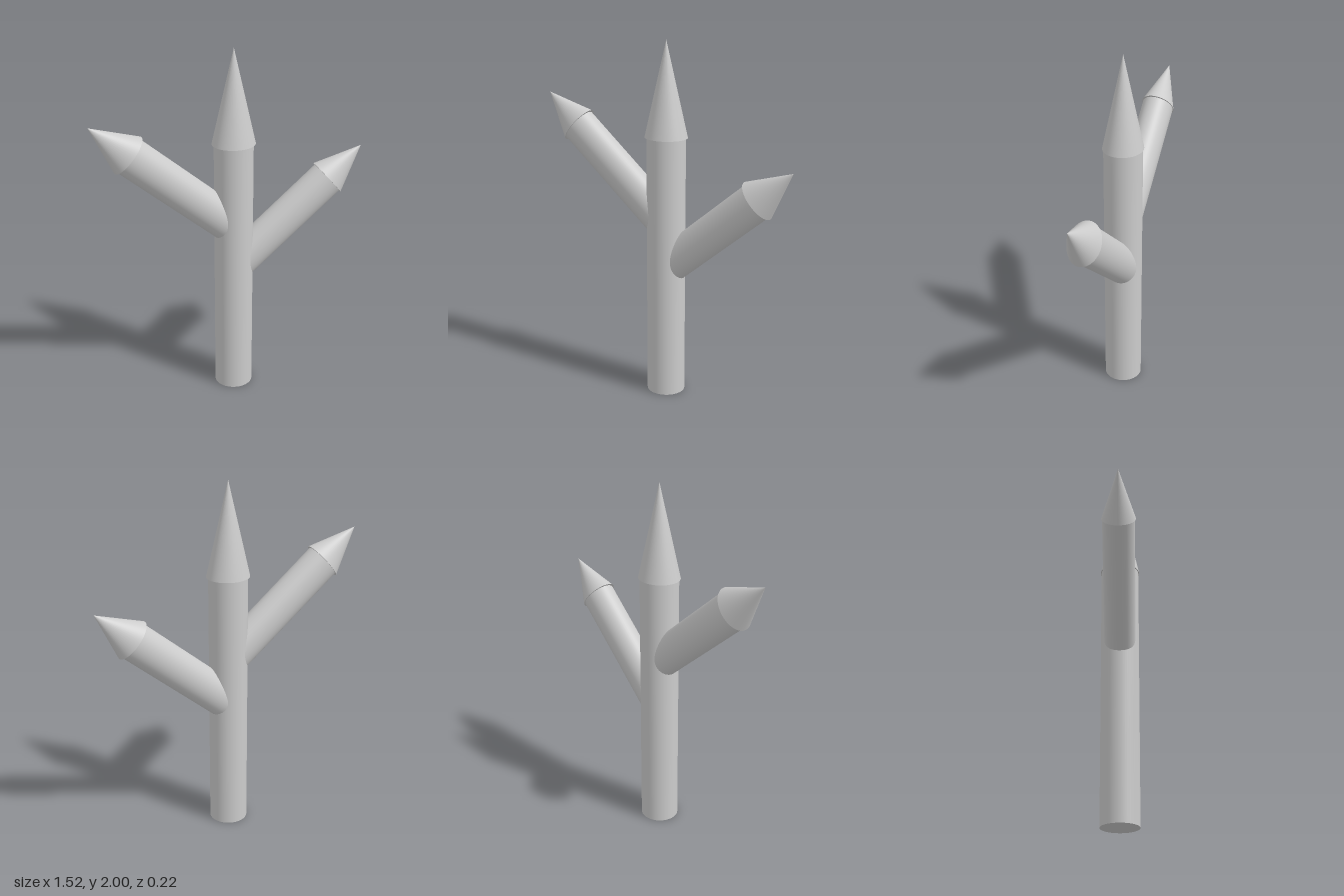
import * as THREE from 'three';

const material = new THREE.MeshStandardMaterial({ color: 0xcccccc });
const SIDES = 48;
const UP = new THREE.Vector3(0, 1, 0);

// Round bar or cone from one point to another; depth flattens it along z.
function addRod(group, name, from, to, topRadius, baseRadius, depth) {
  const start = new THREE.Vector3(...from);
  const axis = new THREE.Vector3(...to).sub(start);
  const length = axis.length();
  const geometry = new THREE.CylinderGeometry(topRadius, baseRadius, length, SIDES);
  geometry.translate(0, length / 2, 0);
  geometry.scale(1, 1, depth / baseRadius);
  const mesh = new THREE.Mesh(geometry, material);
  mesh.name = name;
  mesh.position.copy(start);
  mesh.quaternion.setFromUnitVectors(UP, axis.normalize());
  group.add(mesh);
}

// Shaft with a slightly wider pointed tip
function addSpike(parent, name, root, neck, point, shaft, tip) {
  const group = new THREE.Group();
  group.name = name;
  addRod(group, name + 'Shaft', root, neck, shaft[0], shaft[0], shaft[1]);
  addRod(group, name + 'Tip', neck, point, 0, tip[0], tip[1]);
  parent.add(group);
}

export function createModel() {
  const model = new THREE.Group();
  model.name = 'branchingSpikes';

  // Upright trunk
  addSpike(model, 'trunk', [0.01, 0, 0], [0.01, 1.48, 0], [0.01, 2, 0],
    [0.107, 0.105], [0.119, 0.11]);

  // Higher branch on the right side
  addSpike(model, 'rightBranch', [-0.015, 1.016, 0], [-0.565, 1.485, 0], [-0.765, 1.656, 0],
    [0.105, 0.086], [0.118, 0.091]);

  // Lower branch on the left side, turned very slightly forward
  addSpike(model, 'leftBranch', [0.035, 0.762, -0.009], [0.562, 1.21, 0.001], [0.76, 1.381, 0.004],
    [0.105, 0.086], [0.118, 0.091]);

  return model;
}
